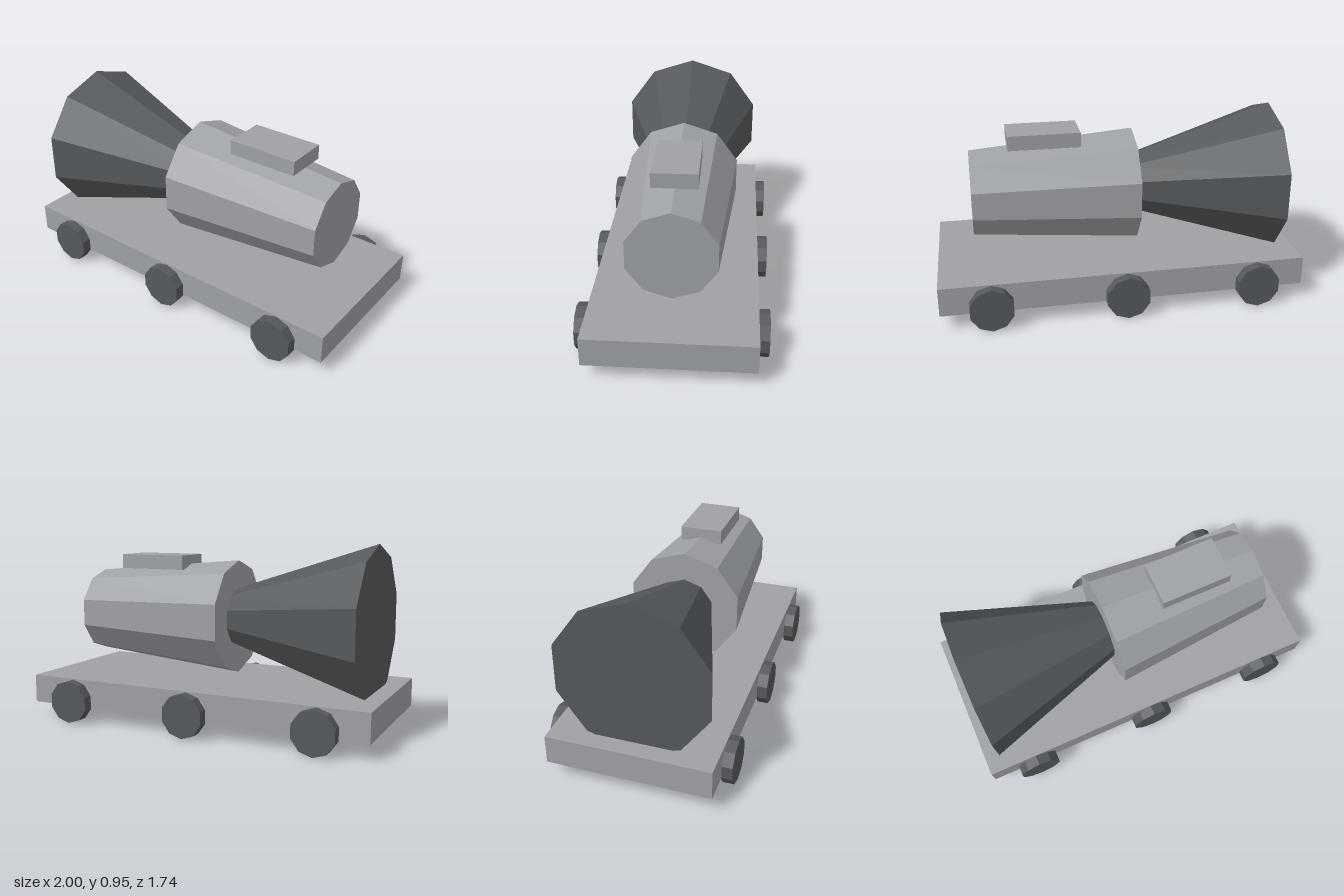
import * as THREE from 'three';

export function createModel() {
  const model = new THREE.Group();
  model.name = 'wheeledCannon';
  // The whole vehicle is turned on the ground
  model.rotation.y = THREE.MathUtils.degToRad(-35);

  const lightGrey = new THREE.MeshStandardMaterial({ color: 0x9ea1a5 });
  lightGrey.name = 'light grey';
  const darkGrey = new THREE.MeshStandardMaterial({ color: 0x55595c });
  darkGrey.name = 'dark grey';

  const add = (name, geometry, material, x, y, z) => {
    const mesh = new THREE.Mesh(geometry, material);
    mesh.name = name;
    mesh.position.set(x, y, z);
    model.add(mesh);
    return mesh;
  };

  // Faceted ten-sided drum along z, with a vertex at top and bottom
  const drum = (rFront, rBack, length) => {
    const g = new THREE.CylinderGeometry(rFront, rBack, length, 10).rotateX(Math.PI / 2).toNonIndexed();
    g.computeVertexNormals();
    return g;
  };

  // Drum along x between two stations
  const barrel = (name, x0, r0, x1, r1, material) =>
    add(name, drum(r1, r0, x1 - x0).rotateY(Math.PI / 2), material, (x0 + x1) / 2, 0.56, 0);

  // Flat bed
  add('platform', new THREE.BoxGeometry(1.868, 0.148, 0.818), lightGrey, 0, 0.154, 0);

  // Tapered body, flared funnel behind it, and block on top
  barrel('body', -0.098, 0.2975, 0.743, 0.2245, lightGrey);
  barrel('funnel', -0.843, 0.395, -0.05, 0.137, darkGrey);
  add('topBlock', new THREE.BoxGeometry(0.368, 0.075, 0.222), lightGrey, 0.366, 0.8425, 0);

  // Three wheels on each side
  for (const side of [-1, 1]) {
    for (const x of [-0.68, 0, 0.68]) {
      add('wheel', drum(0.1125, 0.1125, 0.056), darkGrey, x, 0.1125, side * 0.434);
    }
  }

  const root = new THREE.Group();
  root.name = 'model';
  root.add(model);
  return root;
}
